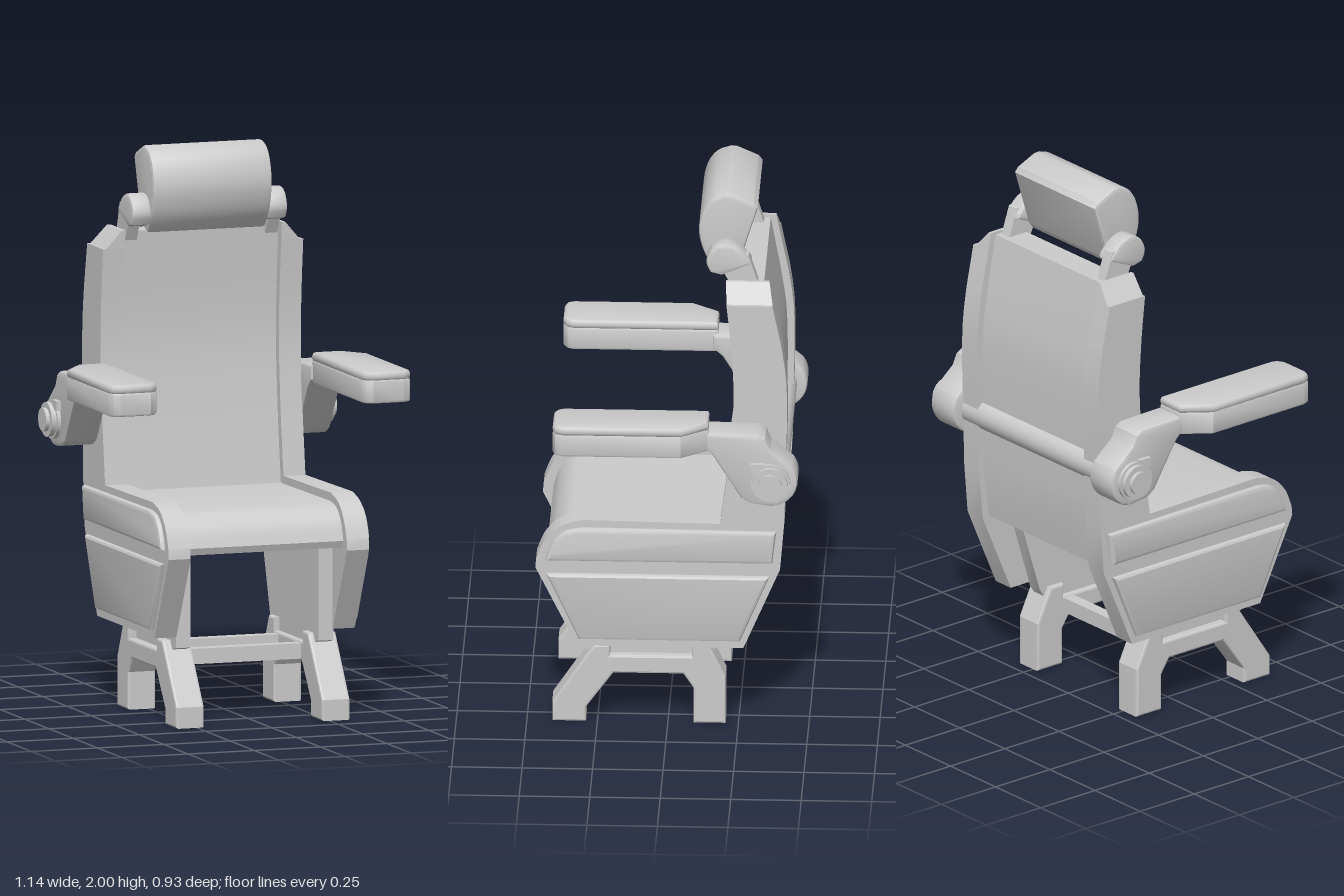
import * as THREE from 'three';
import { toCreasedNormals } from 'three/addons/utils/BufferGeometryUtils.js';

const material = new THREE.MeshStandardMaterial({ color: 0xcccccc });

const toShape = (pts) => new THREE.Shape(pts.map(([a, b]) => new THREE.Vector2(a, b)));

// Smooth run of profile points through a few control points
const smooth = (pts, n = 16) =>
  new THREE.SplineCurve(pts.map(([a, b]) => new THREE.Vector2(a, b))).getPoints(n).map((p) => [p.x, p.y]);

// Points on an arc, angles in degrees
const arc = (cx, cy, r, from, to, n = 14) =>
  Array.from({ length: n + 1 }, (_, i) => {
    const t = THREE.MathUtils.degToRad(from + ((to - from) * i) / n);
    return [cx + r * Math.cos(t), cy + r * Math.sin(t)];
  });

// Extrusion with a bevel that stays inside the outline and depth
function extrude(pts, depth, bevel) {
  return new THREE.ExtrudeGeometry(toShape(pts), {
    depth: depth - 2 * bevel, bevelEnabled: bevel > 0, bevelSize: bevel,
    bevelThickness: bevel, bevelOffset: -bevel, bevelSegments: 2,
  }).translate(0, 0, bevel);
}

function add(group, name, geometry, crease = 0.45) {
  const mesh = new THREE.Mesh(toCreasedNormals(geometry, crease), material);
  mesh.name = name;
  group.add(mesh);
  return mesh;
}

// Side profile of [z, y] points, extruded across x from x0 to x1
const across = (pts, x0, x1, bevel = 0) =>
  extrude(pts, x1 - x0, bevel).rotateY(-Math.PI / 2).translate(x1, 0, 0);

// The same, on side s (+1 or -1)
const onSide = (s, pts, a, b, bevel = 0) => across(pts, s > 0 ? a : -b, s > 0 ? b : -a, bevel);

// Plan outline of [x, z] points, extruded up from y0 to y1
const plan = (pts, y0, y1, bevel) =>
  extrude(pts.map(([x, z]) => [x, -z]), y1 - y0, bevel).rotateX(-Math.PI / 2).translate(0, y0, 0);

const rod = (r, x0, x1, y, z) =>
  new THREE.CylinderGeometry(r, r, x1 - x0, 32).rotateZ(Math.PI / 2).translate((x0 + x1) / 2, y, z);

const box = (w, h, d, x, y, z) => new THREE.BoxGeometry(w, h, d).translate(x, y, z);

export function createModel() {
  const chair = new THREE.Group();
  chair.name = 'chair';

  // Seat and backrest in one slab
  add(chair, 'seatAndBackrest', across([
    [0.42, 0.62],
    ...smooth([[0.43, 0.645], [0.405, 0.71], [0.36, 0.755], [0.3, 0.77]]),
    [-0.215, 0.765],
    ...smooth([[-0.245, 1.0], [-0.265, 1.25], [-0.26, 1.45], [-0.24, 1.69]], 10),
    [-0.34, 1.69],
    ...smooth([[-0.375, 1.5], [-0.4, 1.28], [-0.395, 0.8]], 8),
    [-0.37, 0.62],
  ], -0.302, 0.302));

  // Headrest cushion
  add(chair, 'headrest', across([
    ...smooth([[-0.18, 1.692], [-0.13, 1.76], [-0.106, 1.85], [-0.12, 1.93], [-0.155, 1.98], [-0.205, 2.0]], 20),
    [-0.225, 1.998], [-0.3, 1.965], [-0.315, 1.947], [-0.25, 1.735], [-0.235, 1.715],
  ], -0.225, 0.225, 0.012));

  // Back rod joining the arm pivots
  add(chair, 'backRod', rod(0.058, -0.4, 0.4, 1.01, -0.372));

  // Cross bars of the base
  for (const z of [0.17, -0.06]) add(chair, 'baseCrossBar', box(0.5, 0.055, 0.045, 0, 0.222, z));

  for (const s of [1, -1]) {
    const side = new THREE.Group();
    side.name = s > 0 ? 'leftSide' : 'rightSide';
    chair.add(side);

    // Side frame with a tapered top
    add(side, 'sideFrame', onSide(s, [
      [0.32, 0.315], [0.468, 0.615],
      ...smooth([[0.465, 0.65], [0.435, 0.72], [0.38, 0.775], [0.3, 0.8]]),
      [-0.188, 0.793],
      ...smooth([[-0.215, 1.0], [-0.235, 1.25], [-0.228, 1.45], [-0.21, 1.635]], 10),
      [-0.373, 1.635],
      ...smooth([[-0.405, 1.48], [-0.425, 1.28], [-0.415, 0.8]], 8),
      [-0.4, 0.62], [-0.27, 0.315],
    ], 0.295, 0.378));
    const cap = onSide(s, [[-0.21, 1.635], [-0.205, 1.7], [-0.36, 1.7], [-0.373, 1.635]], 0.295, 0.378);
    const pos = cap.attributes.position;
    for (let i = 0; i < pos.count; i++) {
      if (pos.getY(i) > 1.66) pos.setX(i, s * Math.min(Math.abs(pos.getX(i)), 0.308));
      else if (Math.abs(pos.getX(i)) > 0.35) pos.setX(i, s * 0.365);
    }
    cap.computeVertexNormals();
    add(side, 'sideFrameTop', cap);

    // Raised trim panels beside the seat
    add(side, 'upperTrim', onSide(s, [
      [0.432, 0.645],
      ...smooth([[0.425, 0.675], [0.4, 0.725], [0.36, 0.76], [0.3, 0.773]]),
      [-0.387, 0.768], [-0.372, 0.645],
    ], 0.365, 0.397, 0.014));
    add(side, 'lowerTrim', onSide(s,
      [[0.43, 0.595], [0.313, 0.342], [-0.257, 0.342], [-0.363, 0.595]], 0.365, 0.395, 0.014));

    // Inner plate carrying the seat
    add(side, 'innerPlate', onSide(s,
      [[0.32, 0.625], [0.32, 0.275], [0.24, 0.255], [-0.15, 0.255], [-0.18, 0.3], [-0.28, 0.625]], 0.242, 0.297));

    // Arched leg pair
    add(side, 'legs', onSide(s, [
      [0.41, 0], [0.41, 0.075], [0.262, 0.297], [0.205, 0.297], [0.205, 0.257], [-0.085, 0.257],
      [-0.085, 0.305], [-0.145, 0.305], [-0.205, 0.18], [-0.205, 0], [-0.09, 0], [-0.09, 0.135],
      [-0.055, 0.188], [0.193, 0.188], [0.29, 0.055], [0.29, 0],
    ], 0.222, 0.328, 0.008), 0.3);

    // Headrest pivot and its bracket
    add(side, 'headrestPivot', onSide(s, [
      ...smooth([[-0.15, 1.725], [-0.135, 1.765], [-0.155, 1.812], [-0.2, 1.832], [-0.25, 1.815], [-0.29, 1.775]], 18),
      [-0.295, 1.76], [-0.19, 1.715],
    ], 0.22, 0.293, 0.01));
    add(side, 'headrestBracket', onSide(s,
      [[-0.2, 1.72], [-0.25, 1.8], [-0.285, 1.79], [-0.318, 1.69], [-0.23, 1.66]], 0.243, 0.287));

    // Arm bracket wrapped around the pivot
    add(side, 'armBracket', onSide(s, [
      [-0.13, 1.14], [-0.13, 1.193], [-0.325, 1.19], [-0.352, 1.175], [-0.37, 1.135], [-0.412, 1.1],
      ...arc(-0.37, 1.012, 0.097, 110, 270).slice(3),
      [-0.3, 0.925], [-0.268, 0.945], [-0.165, 1.11],
    ], 0.376, 0.503, 0.012), 0.5);

    // Pivot hub, stepping down outwards
    for (const [r, a, b] of [[0.07, 0.495, 0.517], [0.062, 0.51, 0.535], [0.042, 0.53, 0.549]]) {
      add(side, 'armHub', rod(r, s > 0 ? a : -b, s > 0 ? b : -a, 1.012, -0.37));
    }
    add(side, 'hubStop', box(0.025, 0.035, 0.05, s * 0.508, 1.068, -0.325));

    // Armrest: base and cushion cap
    const outline = [
      [0.39, -0.15], [0.5, -0.15], [0.57, -0.055], [0.57, 0.365], [0.56, 0.39], [0.535, 0.4],
      [0.42, 0.4], [0.395, 0.385], [0.386, 0.365], [0.386, -0.14],
    ].map(([x, z]) => [s * x, z]);
    add(side, 'armrestBase', plan(outline, 1.125, 1.21, 0.008));
    add(side, 'armrestCushion', plan(outline, 1.203, 1.238, 0.013), 0.9);
  }
  return chair;
}
